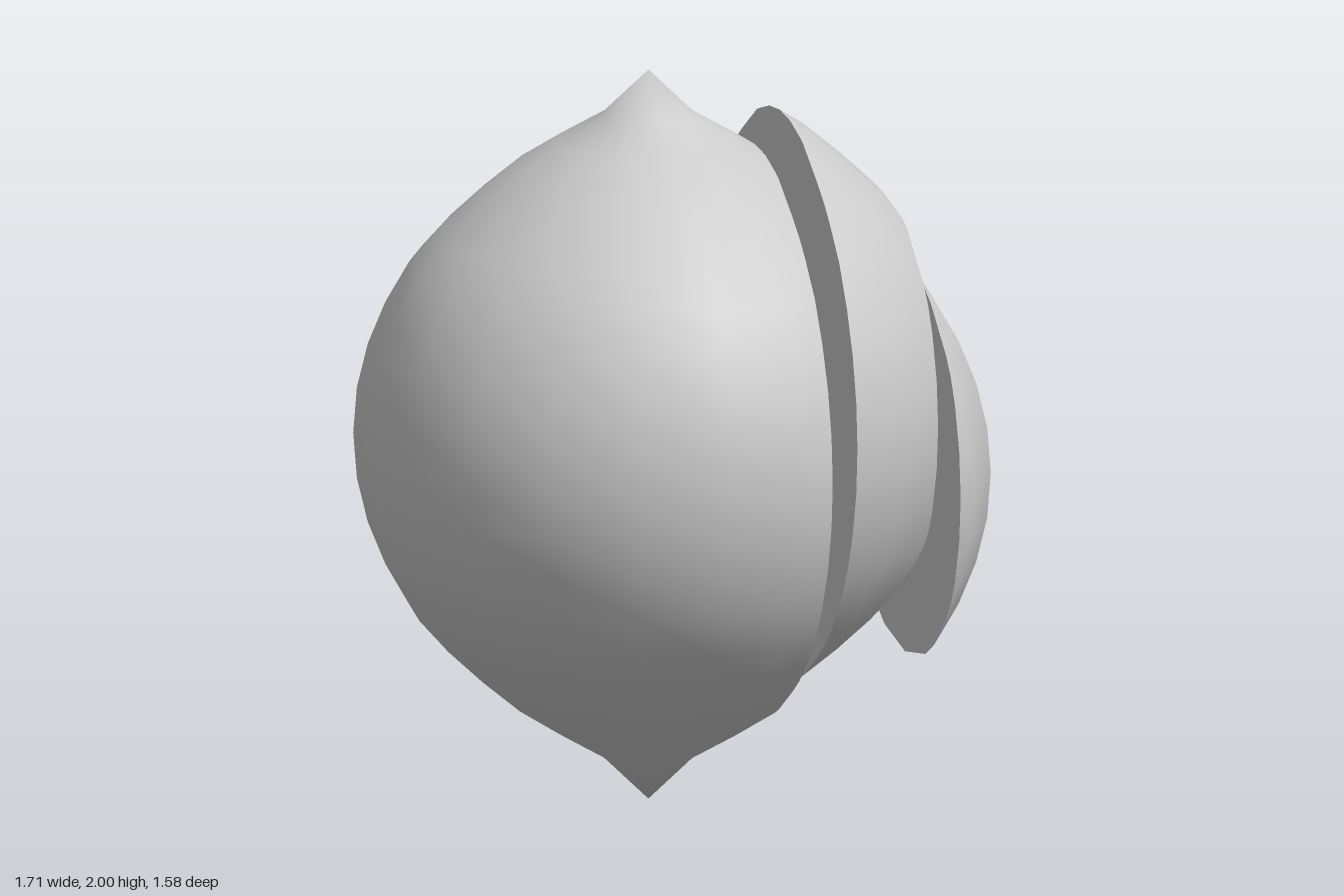
import * as THREE from 'three';
import { mergeVertices } from 'three/addons/utils/BufferGeometryUtils.js';

const RADIUS = 0.79;
const SIDES = 20;

// Whole fruit: a sphere turned about y, with both poles drawn out into tips
function fruitGeometry() {
  const heights = [0, 0.124, 0.244, 0.36, 0.472, 0.562, 0.65, 0.738, 0.81, 0.88, 1];
  const points = [];
  for (let k = -10; k <= 10; k++) {
    const r = Math.abs(k) === 10 ? 0 : RADIUS * Math.cos((k * Math.PI) / 20);
    points.push(new THREE.Vector2(r, 1 + Math.sign(k) * heights[Math.abs(k)]));
  }
  const lathe = new THREE.LatheGeometry(points, SIDES);
  lathe.deleteAttribute('uv');
  lathe.deleteAttribute('normal');
  const merged = mergeVertices(lathe);
  merged.computeVertexNormals();
  return merged.toNonIndexed();
}

// Cut a polygon at x = cut, keeping the side given by sign; new corners go to rim
function clip(polygon, cut, sign, rim) {
  const out = [];
  polygon.forEach((a, i) => {
    const b = polygon[(i + 1) % polygon.length];
    const da = sign * (a.p.x - cut);
    const db = sign * (b.p.x - cut);
    if (da >= 0) out.push(a);
    if (da >= 0 !== db >= 0) {
      const t = da / (da - db);
      const corner = { p: a.p.clone().lerp(b.p, t), n: a.n.clone().lerp(b.n, t).normalize() };
      out.push(corner);
      rim.push(corner.p);
    }
  });
  return out;
}

// Piece of the fruit between two upright cuts, closed with flat faces
function sliceGeometry(source, minX, maxX) {
  const pos = source.attributes.position;
  const nor = source.attributes.normal;
  const positions = [];
  const normals = [];
  const push = (p, n) => {
    positions.push(p.x, p.y, p.z);
    normals.push(n.x, n.y, n.z);
  };
  const cuts = [{ x: minX, sign: 1 }, { x: maxX, sign: -1 }];

  for (let i = 0; i < pos.count; i += 3) {
    let polygon = [0, 1, 2].map((j) => ({
      p: new THREE.Vector3().fromBufferAttribute(pos, i + j),
      n: new THREE.Vector3().fromBufferAttribute(nor, i + j),
    }));
    for (const { x, sign } of cuts) {
      const rim = [];
      polygon = clip(polygon, x, sign, rim);
      if (rim.length !== 2) continue;
      // Cut face: a fan from its middle, facing away from the kept side
      const middle = new THREE.Vector3(x, 1, 0);
      const facing = new THREE.Vector3(-sign, 0, 0);
      const turn = rim[0].clone().sub(middle).cross(rim[1].clone().sub(middle));
      if (turn.dot(facing) < 0) rim.reverse();
      [middle, ...rim].forEach((p) => push(p, facing));
    }
    for (let j = 1; j + 1 < polygon.length; j++) {
      [polygon[0], polygon[j], polygon[j + 1]].forEach((c) => push(c.p, c.n));
    }
  }
  const geometry = new THREE.BufferGeometry();
  geometry.setAttribute('position', new THREE.Float32BufferAttribute(positions, 3));
  geometry.setAttribute('normal', new THREE.Float32BufferAttribute(normals, 3));
  return geometry;
}

export function createModel() {
  const group = new THREE.Group();
  group.name = 'slicedFruit';
  const material = new THREE.MeshStandardMaterial({ color: 0xcccccc });
  const fruit = fruitGeometry();

  // Main body, middle slice lifted a little, end slice dropped a little
  const pieces = [
    { name: 'fruitBody', from: -2, to: 0.298, x: -0.07, y: 0 },
    { name: 'middleSlice', from: 0.298, to: 0.585, x: -0.001, y: 0.09 },
    { name: 'endSlice', from: 0.585, to: 2, x: 0.062, y: -0.11 },
  ];
  for (const { name, from, to, x, y } of pieces) {
    const mesh = new THREE.Mesh(sliceGeometry(fruit, from, to), material);
    mesh.name = name;
    mesh.position.set(x, y, 0);
    group.add(mesh);
  }
  return group;
}
